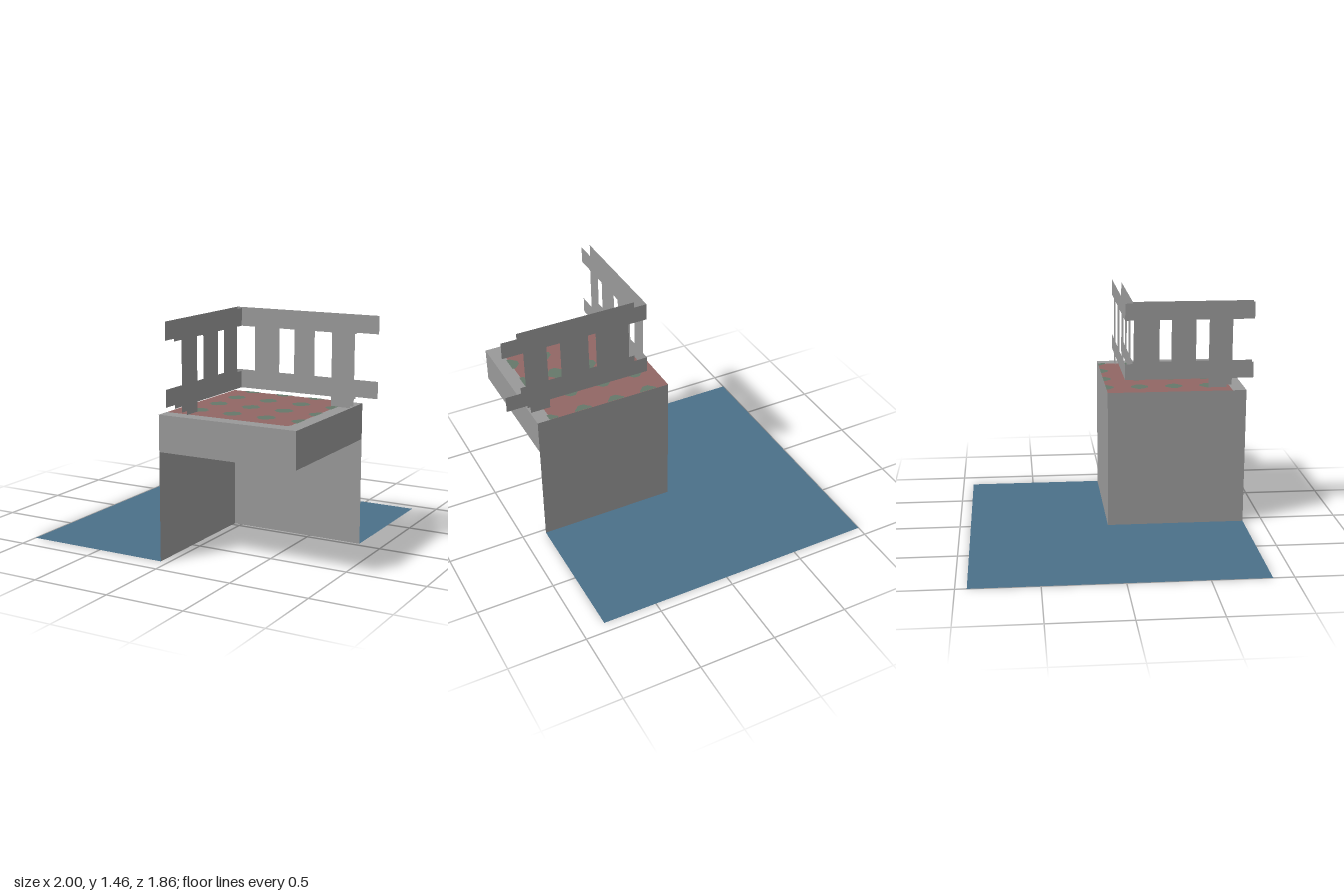
import * as THREE from 'three';
import { mergeGeometries } from 'three/addons/utils/BufferGeometryUtils.js';

const mat = (name, color) => {
  const m = new THREE.MeshStandardMaterial({ color, side: THREE.DoubleSide });
  m.name = name;
  return m;
};

// Block limits
const X0 = -0.05, X1 = 0.85, Z0 = -0.03, Z1 = 0.87, TOP = 0.9;

// Horizontal sheet from [x, z] corners
function flat(points, y) {
  const shape = new THREE.Shape(points.map(([x, z]) => new THREE.Vector2(x, -z)));
  return new THREE.ShapeGeometry(shape).rotateX(-Math.PI / 2).translate(0, y, 0);
}

// Upright rectangle in the xy plane
const rect = (a, b, y0, y1) =>
  new THREE.PlaneGeometry(b - a, y1 - y0).translate((a + b) / 2, (y0 + y1) / 2, 0);

// Upright sheet facing along z, or along x when turned
const alongX = (g, z) => g.translate(0, 0, z);
const alongZ = (g, x) => g.rotateY(-Math.PI / 2).translate(x, 0, 0);

// One fence sheet: two rails, posts between them, a foot under one post
function fence(start, end, posts, foot) {
  const parts = [rect(start, end, 0.96, 1.065), rect(start, end, 1.35, 1.46)];
  for (const [a, b] of posts) parts.push(rect(a, b, 1.065, 1.35));
  parts.push(rect(...posts[foot], TOP, 0.96));
  return mergeGeometries(parts);
}

export function createModel() {
  const group = new THREE.Group();
  const grey = mat('stone grey', 0x999999);
  const blue = mat('water blue', 0x4b7089);
  const red = mat('floor red', 0x926765);
  const green = mat('spot green', 0x66786a);
  const add = (name, geometry, material) => {
    const mesh = new THREE.Mesh(geometry, material);
    mesh.name = name;
    group.add(mesh);
  };

  // L-shaped water around the block
  add('water', flat([[-1, -0.93], [X1, -0.93], [X1, Z0], [X0, Z0], [X0, Z1], [-1, Z1]], 0), blue);

  // Two full walls and two short bands
  add('leftWall', alongZ(rect(Z0, Z1, 0, TOP), X0), grey);
  add('backWall', alongX(rect(X0, X1, 0, TOP), Z0), grey);
  add('frontBand', alongX(rect(X0, X1, 0.675, TOP), Z1), grey);
  add('sideBand', alongZ(rect(Z0, Z1, 0.675, TOP), X1), grey);

  // Top: carpet with a softened corner, and the border along it
  const edge = [[0.76, Z0], [0.76, 0.755], [0.753, 0.772], [0.735, 0.78], [X0, 0.78]];
  add('carpet', flat([[X0, Z0], ...edge], TOP), red);
  add('border', flat([...edge, [X0, Z1], [X1, Z1], [X1, Z0]], TOP), grey);

  // Spots on both faces of the carpet, cut off at its edges
  const quarter = [[0.056, 0.018], [0.037, 0.035], [0.018, 0.056]];
  const spots = [];
  for (let i = 0; i < 4; i++) {
    for (let j = 0; j < 4; j++) {
      const outline = [];
      for (let q = 0; q < 4; q++) {
        const c = [1, 0, -1, 0][q], s = [0, 1, 0, -1][q];
        for (const [u, v] of quarter) {
          outline.push([
            Math.min(0.09 + i * 0.225 + u * c - v * s, 0.77),
            Math.max(-0.035 + j * 0.225 + u * s + v * c, Z0),
          ]);
        }
      }
      spots.push(flat(outline, TOP + 0.002), flat(outline, TOP - 0.002));
    }
  }
  add('carpetSpots', mergeGeometries(spots), green);

  // Fence: an outer and an inner sheet on each of two sides
  add('backFenceOuter', alongX(fence(0.04, 1.0, [[0.165, 0.295], [0.44, 0.57], [0.715, 0.845]], 2), 0.09), grey);
  add('backFenceInner', alongX(fence(0.1, 0.88, [[0.245, 0.365], [0.485, 0.605], [0.72, 0.845]], 2), 0.145), grey);
  add('leftFenceOuter', alongZ(fence(0.09, 0.93, [[0.145, 0.265], [0.39, 0.51], [0.635, 0.755]], 2), 0.04), grey);
  add('leftFenceInner', alongZ(fence(0.145, 0.93, [[0.205, 0.32], [0.44, 0.56], [0.68, 0.8]], 2), 0.1), grey);

  return group;
}
